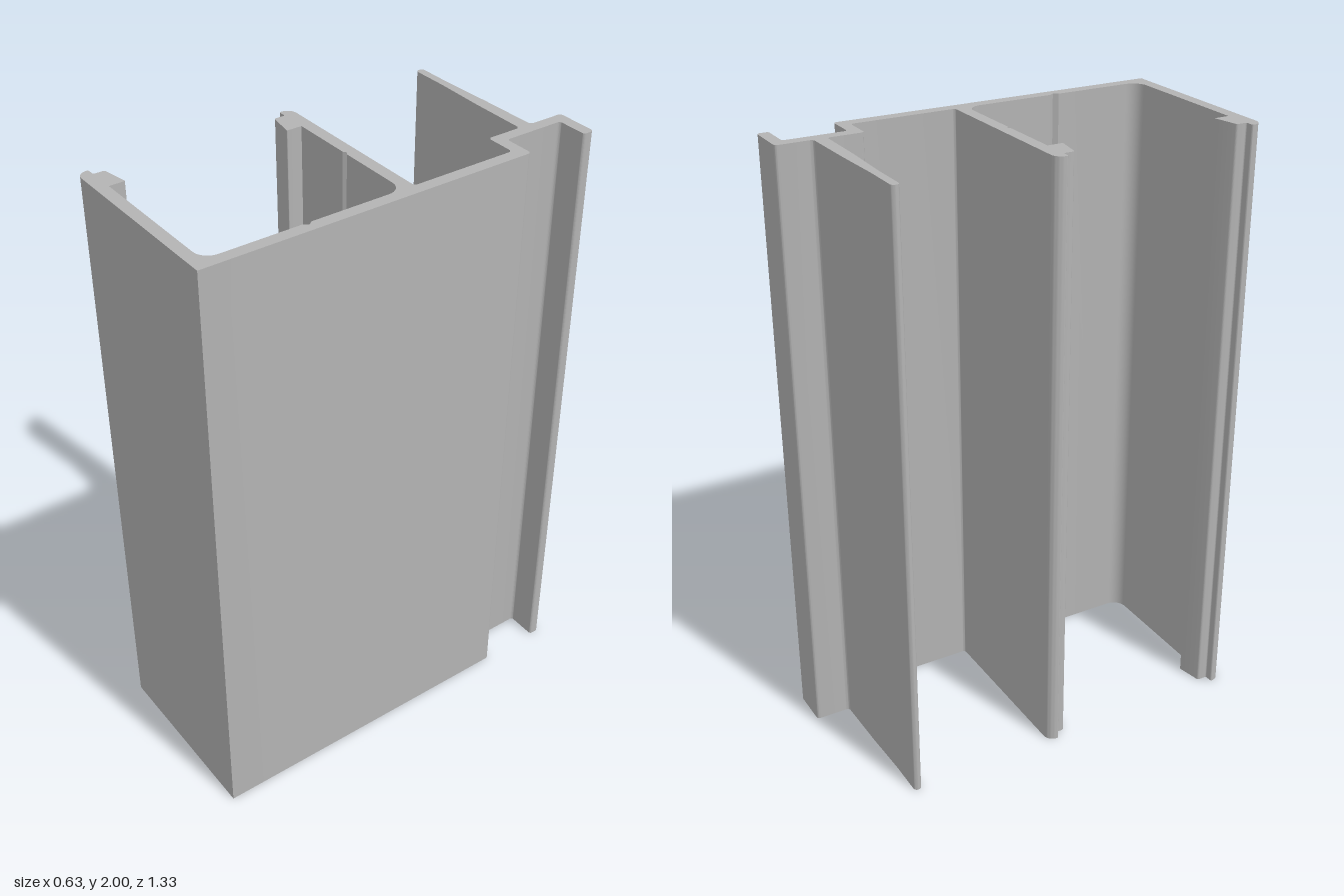
import * as THREE from 'three';
import { toCreasedNormals } from 'three/addons/utils/BufferGeometryUtils.js';

const HEIGHT = 2;

// Cross-section corners: x, z, optional corner radius
const PROFILE = [
  // outer face and stepped hook at the back
  [0.315, 0.665], [0.315, -0.428, 0.012], [0.213, -0.428, 0.01], [0.213, -0.63, 0.01],
  [0.315, -0.63, 0.008], [0.315, -0.667, 0.012], [0.175, -0.667, 0.012], [0.175, -0.55, 0.012],
  // thin tapering fin
  [-0.02, -0.547], [-0.19, -0.541], [-0.318, -0.541, 0.012], [-0.318, -0.515, 0.012],
  [-0.19, -0.515], [-0.02, -0.509], [0.175, -0.507, 0.012],
  // inside of the step and rear chamber
  [0.175, -0.39, 0.012], [0.276, -0.39, 0.012], [0.276, -0.043, 0.01],
  // middle flange with its clip and scored groove
  [-0.318, -0.043, 0.032], [-0.318, -0.004, 0.006], [-0.29, -0.004, 0.004],
  [-0.29, 0.032, 0.006], [-0.203, 0.047, 0.004], [-0.203, -0.004],
  [0, -0.004], [0.01, 0.004 - 0.015], [0.02, -0.004],
  // front chamber with a groove in the web
  [0.276, -0.004, 0.047], [0.276, 0.295], [0.287, 0.31], [0.276, 0.325], [0.276, 0.626, 0.047],
  // front flange with its clip
  [-0.203, 0.626], [-0.203, 0.575, 0.004], [-0.29, 0.592, 0.006], [-0.29, 0.627, 0.004],
  [-0.318, 0.627, 0.006], [-0.318, 0.665, 0.032],
];

// Closed shape with rounded corners; shape y is -z
function roundedShape(corners) {
  const shape = new THREE.Shape();
  const points = corners.map(([x, z]) => new THREE.Vector2(x, -z));
  const n = points.length;
  points.forEach((p, i) => {
    const r = corners[i][2] || 0;
    const toward = (q, d) => q.clone().sub(p).setLength(d).add(p);
    const prev = points[(i + n - 1) % n], next = points[(i + 1) % n];
    const a = r ? toward(prev, r) : p;
    if (i === 0) shape.moveTo(a.x, a.y);
    else shape.lineTo(a.x, a.y);
    if (r) {
      const b = toward(next, r), c = toward(prev, r * 0.45), d = toward(next, r * 0.45);
      shape.bezierCurveTo(c.x, c.y, d.x, d.y, b.x, b.y);
    }
  });
  shape.closePath();
  return shape;
}

export function createModel() {
  const group = new THREE.Group();
  group.name = 'extrudedFrameProfile';
  const aluminium = new THREE.MeshStandardMaterial({ color: 0xb3b3b3 });
  aluminium.name = 'aluminium grey';

  // Constant section swept straight up
  const geometry = new THREE.ExtrudeGeometry(roundedShape(PROFILE), {
    depth: HEIGHT, bevelEnabled: false, curveSegments: 8,
  });
  geometry.rotateX(-Math.PI / 2);

  const profile = new THREE.Mesh(toCreasedNormals(geometry, Math.PI / 7), aluminium);
  profile.name = 'profileBar';
  group.add(profile);
  return group;
}
